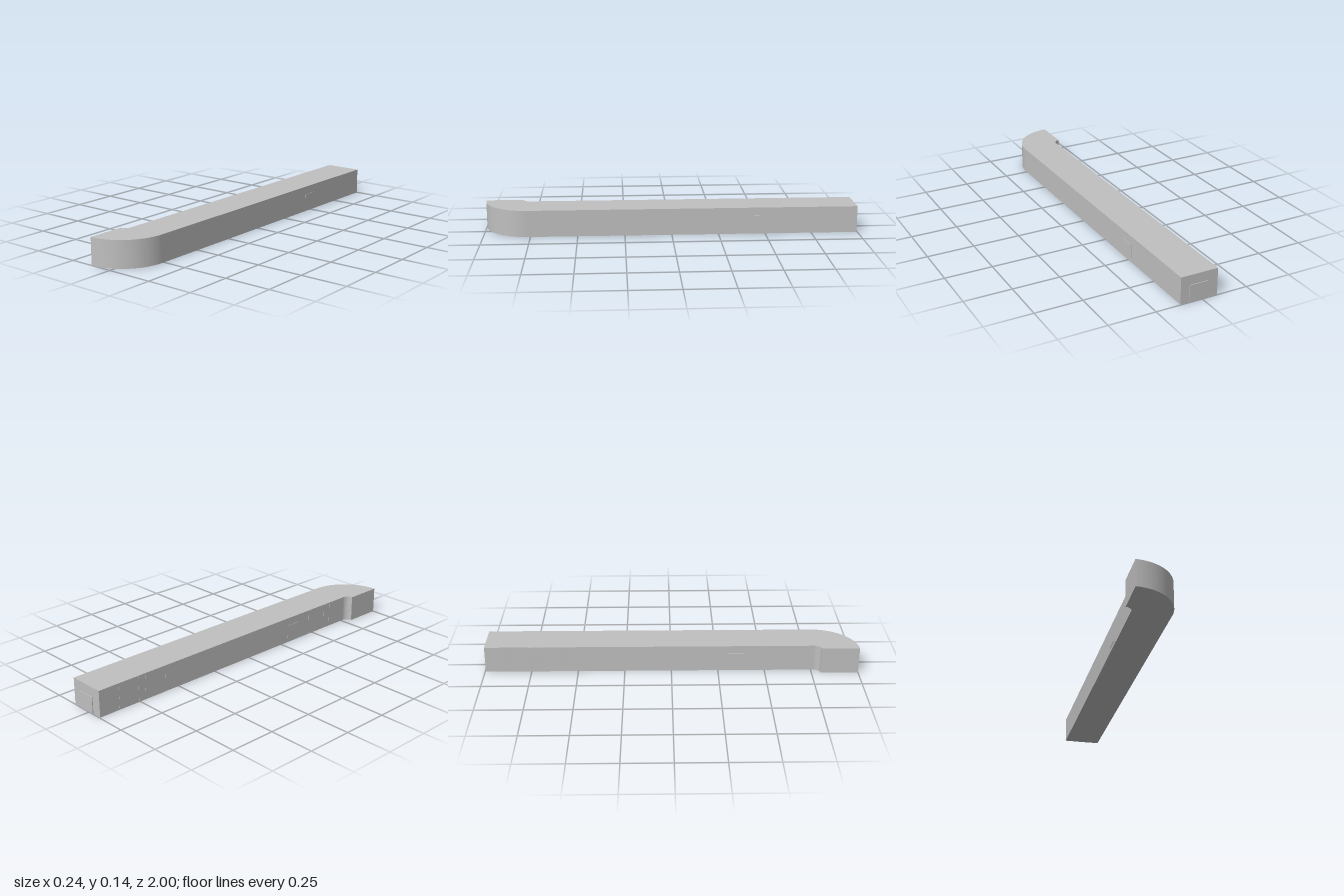
import * as THREE from 'three';

export function createModel() {
  const model = new THREE.Group();
  const concrete = new THREE.MeshStandardMaterial({ color: 0xc0c0c0 });
  concrete.name = 'concrete grey';

  const add = (name, geometry) => {
    const mesh = new THREE.Mesh(geometry, concrete);
    mesh.name = name;
    model.add(mesh);
  };
  const addBox = (name, w, h, d, x, y, z) =>
    add(name, new THREE.BoxGeometry(w, h, d).translate(x, y, z));

  const height = 0.143, right = 0.118, left = -0.084, back = -0.996;
  const bendX = -0.12, bendZ = 0.763; // centre of the quarter turn

  // Corridor plan: a long straight run with a quarter turn at the front (plan y is -z)
  const plan = new THREE.Shape();
  plan.moveTo(bendX, -1);
  plan.absarc(bendX, -bendZ, right - bendX, -Math.PI / 2, 0, false);
  plan.lineTo(right, -back);
  plan.lineTo(left, -back);
  plan.lineTo(left, -bendZ);
  plan.absarc(bendX, -bendZ, left - bendX, 0, -Math.PI / 2, true);
  plan.closePath();
  const body = new THREE.ExtrudeGeometry(plan, { depth: height, bevelEnabled: false, curveSegments: 16 });
  add('corridor', body.rotateX(-Math.PI / 2));

  // Raised door panels: one on the end wall, one on each long wall
  addBox('endDoor', 0.1, 0.09, 0.008, 0.02, 0.046, back);
  addBox('outerWallDoor', 0.004, 0.075, 0.09, right, 0.061, -0.485);
  addBox('innerWallDoor', 0.004, 0.075, 0.09, left, 0.061, 0.345);

  // Narrow panel joints along the inner wall
  for (const z of [-0.874, -0.753, -0.71, -0.58, 0.473, 0.6, 0.645])
    addBox('wallJoint', 0.002, height - 0.002, 0.008, left, height / 2, z);

  return model;
}
